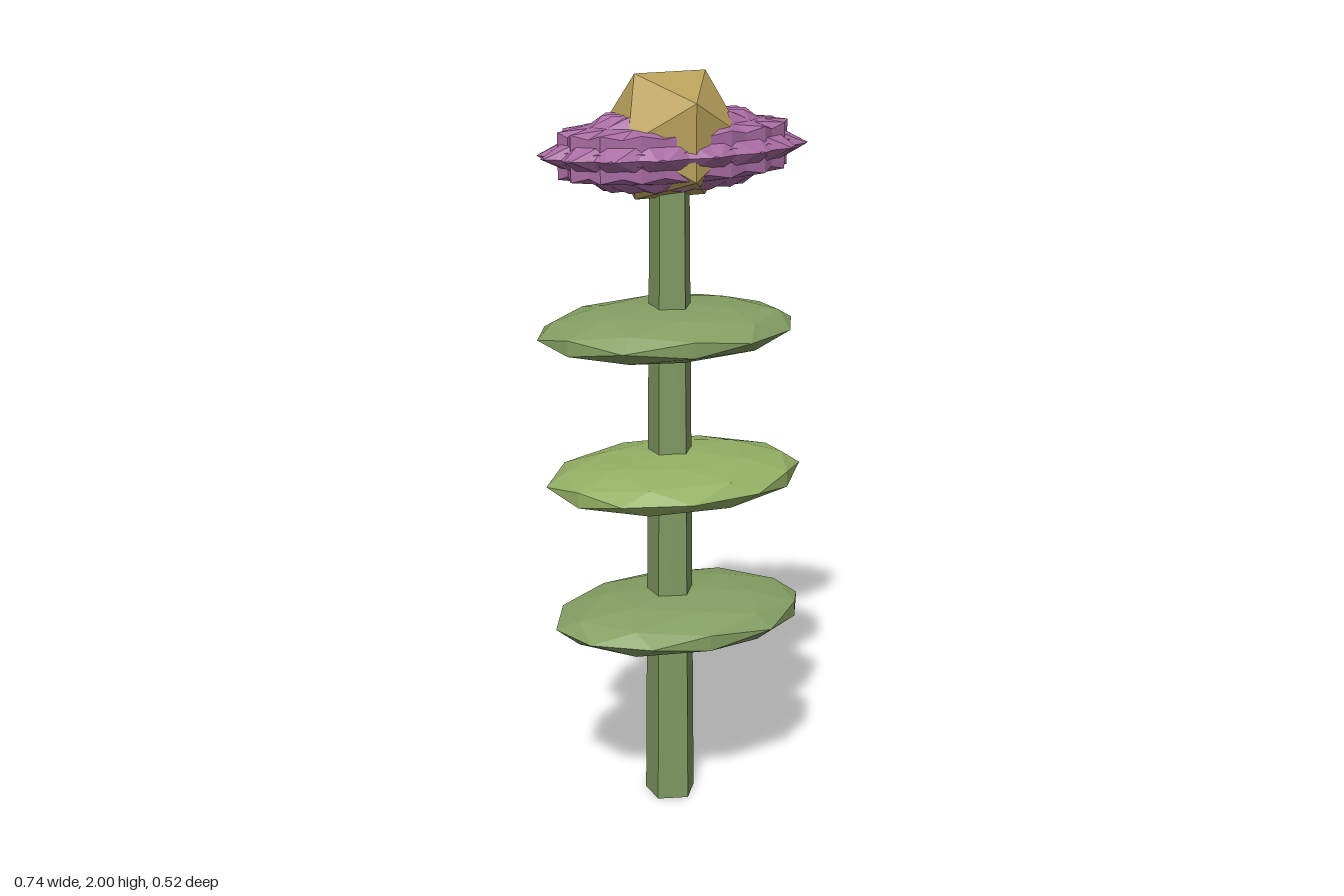
import * as THREE from 'three';

const material = (color) => new THREE.MeshStandardMaterial({ color, flatShading: true });

// Faceted ball, turned about y and then squashed to the given radii
function pebble(name, mat, detail, turn, radii, position) {
  const geometry = new THREE.IcosahedronGeometry(1, detail);
  geometry.rotateY(turn);
  geometry.scale(...radii);
  geometry.computeVertexNormals();
  const mesh = new THREE.Mesh(geometry, mat);
  mesh.name = name;
  mesh.position.set(...position);
  return mesh;
}

export function createModel() {
  const model = new THREE.Group();
  model.name = 'flower';
  const axisX = -0.013;

  // Tapered five-sided stem with one edge towards +x
  const stemHeight = 1.78;
  const stem = new THREE.Mesh(
    new THREE.CylinderGeometry(0.054, 0.071, stemHeight, 5, 1, false, Math.PI / 2),
    material(0x7f9862)
  );
  stem.name = 'stem';
  stem.position.set(axisX, stemHeight / 2, 0);
  model.add(stem);

  // Three flat leaf discs threaded on the stem
  const leaves = [
    { x: 0.007, y: 0.543, z: 0.012, turn: 0.5, color: 0x849f62 },
    { x: -0.01, y: 0.942, z: 0.024, turn: 1.4, color: 0x93b064 },
    { x: -0.018, y: 1.336, z: -0.01, turn: 2.5, color: 0x849f62 },
  ];
  for (const { x, y, z, turn, color } of leaves) {
    model.add(pebble('leaf', material(color), 1, turn, [0.355, 0.068, 0.252], [x, y, z]));
  }

  // Spiky petal head: the same faceted ball repeated in equal turns
  const petals = new THREE.Group();
  petals.name = 'petals';
  const petalMaterial = material(0xa86ba2);
  const petalCount = 8;
  for (let i = 0; i < petalCount; i++) {
    const turn = (i * Math.PI) / petalCount - 0.1;
    petals.add(pebble('petal', petalMaterial, 0, turn, [0.37, 0.112, 0.174], [0, 1.806, 0]));
  }
  model.add(petals);

  // Golden heart of the flower
  model.add(pebble('heart', material(0xb8a05a), 0, 0, [0.186, 0.186, 0.186], [axisX, 1.842, 0]));

  return model;
}
